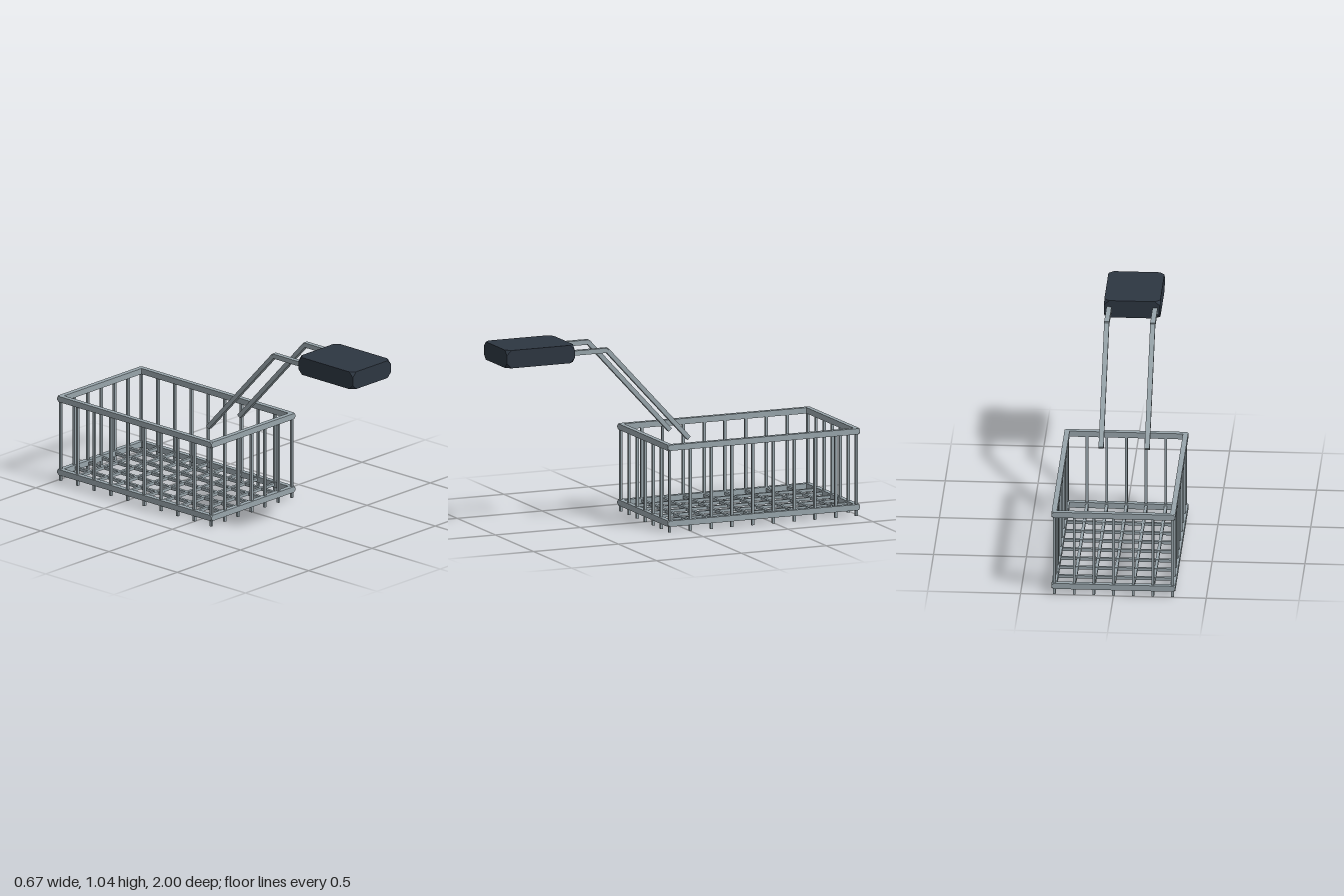
import * as THREE from 'three';
import { ConvexGeometry } from 'three/addons/geometries/ConvexGeometry.js';

// Box whose eight corners are sliced off diagonally by c
function cutBox(w, h, d, c) {
  const pts = [];
  for (const x of [-1, 1]) for (const y of [-1, 1]) for (const z of [-1, 1]) {
    const p = new THREE.Vector3(x * w / 2, y * h / 2, z * d / 2);
    pts.push(new THREE.Vector3(p.x - x * c, p.y, p.z));
    pts.push(new THREE.Vector3(p.x, p.y - y * c, p.z));
    pts.push(new THREE.Vector3(p.x, p.y, p.z - z * c));
  }
  return new ConvexGeometry(pts);
}

export function createModel() {
  const steel = new THREE.MeshStandardMaterial({ color: 0x98a5ab });
  steel.name = 'steel';
  const rubber = new THREE.MeshStandardMaterial({ color: 0x2d3641 });
  rubber.name = 'dark grip';

  const model = new THREE.Group();
  model.name = 'fryingBasket';
  const add = (parent, name, geo, mat, x, y, z) => {
    const mesh = new THREE.Mesh(geo, mat);
    mesh.name = name;
    mesh.position.set(x, y, z);
    parent.add(mesh);
    return mesh;
  };
  const group = (name) => {
    const g = new THREE.Group();
    g.name = name;
    model.add(g);
    return g;
  };

  // Basket extents and wire spacing
  const halfW = 0.333, back = -1, front = 0.132, bar = 0.028, barH = 0.032;
  const length = front - back, midZ = (front + back) / 2;
  const wire = 0.014, nx = 6, nz = 9;
  const wireX = halfW - 0.015, zBack = back + 0.015, zFront = front - 0.015;
  const xAt = (i) => -wireX + 2 * wireX * i / nx;
  const zAt = (i) => zBack + (zFront - zBack) * i / nz;

  // Upper and lower rims
  for (const [name, y] of [['lowerRim', 0.049], ['upperRim', 0.465]]) {
    const rim = group(name);
    for (const s of [-1, 1]) {
      add(rim, 'rimSide', cutBox(bar, barH, length, 0.012), steel, s * (halfW - bar / 2), y, midZ);
      add(rim, 'rimEnd', cutBox(halfW * 2, barH, bar, 0.012), steel, 0, y, midZ + s * (length - bar) / 2);
    }
  }

  // Upright wires around all four sides
  const uprights = group('uprightWires');
  const uprightGeo = new THREE.BoxGeometry(wire, 0.465, wire);
  for (let i = 0; i <= nx; i++)
    for (const z of [zBack, zFront]) add(uprights, 'endWire', uprightGeo, steel, xAt(i), 0.2325, z);
  for (let i = 1; i < nz; i++)
    for (const s of [-1, 1]) add(uprights, 'sideWire', uprightGeo, steel, s * wireX, 0.2325, zAt(i));

  // Floor grid
  const floor = group('floorGrid');
  const longGeo = new THREE.BoxGeometry(0.016, 0.016, zFront - zBack);
  const crossGeo = new THREE.BoxGeometry(wireX * 2, 0.016, 0.016);
  for (let i = 1; i < nx; i++) add(floor, 'longWire', longGeo, steel, xAt(i), 0.048, midZ);
  for (let i = 1; i < nz; i++) add(floor, 'crossWire', crossGeo, steel, 0, 0.05, zAt(i));

  // Handle: two bent arms and a grip
  const handle = group('handle');
  const rise = new THREE.Vector2(0.4 + 0.081, 0.987 - 0.467); // z and y run of the sloping arm
  for (const s of [-1, 1]) {
    const x = s * 0.124;
    add(handle, 'armStraight', new THREE.BoxGeometry(0.027, 0.026, 0.23), steel, x, 0.987, 0.512);
    const slope = add(handle, 'armSloped', new THREE.BoxGeometry(0.027, 0.024, rise.length()), steel,
      x, (0.987 + 0.467) / 2, (0.4 - 0.081) / 2);
    slope.rotation.x = -Math.atan2(rise.y, rise.x);
  }
  add(handle, 'grip', cutBox(0.302, 0.098, 0.4, 0.027), rubber, 0, 0.987, 0.8);

  return model;
}
